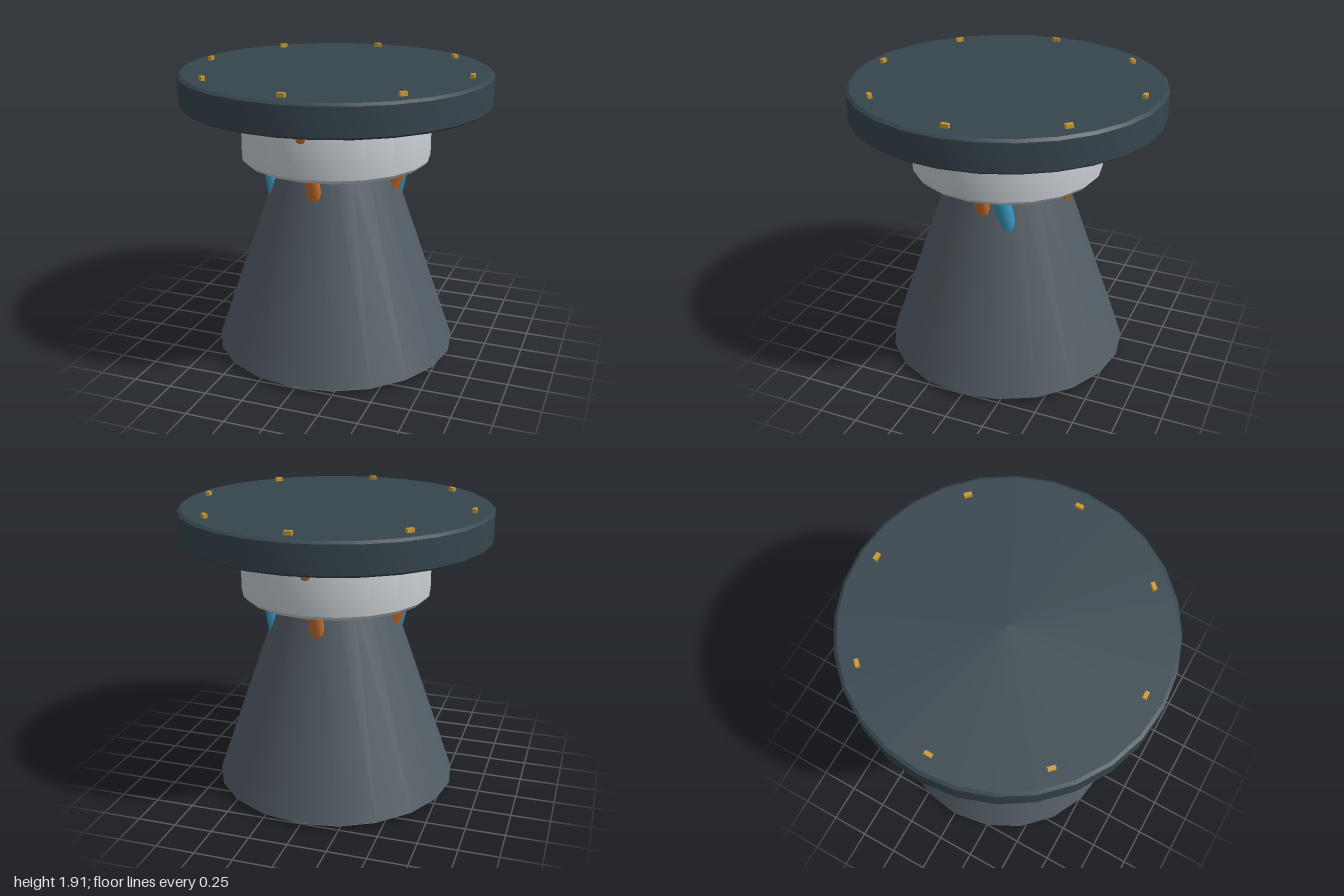
import * as THREE from 'three';
import { toCreasedNormals } from 'three/addons/utils/BufferGeometryUtils.js';

const mat = (color) => new THREE.MeshStandardMaterial({ color });

export function createModel() {
  const model = new THREE.Group();
  const dark = mat(0x36454d), slate = mat(0x535d65), pale = mat(0xc4cacf);
  const gold = mat(0xc9992e), copper = mat(0xc8702f), blue = mat(0x3596bd);

  const add = (name, geometry, material) => {
    const mesh = new THREE.Mesh(geometry, material);
    mesh.name = name;
    model.add(mesh);
    return mesh;
  };

  // Turned solid from [radius, y] points, bottom to top
  const turned = (name, points, sides, material) => {
    const profile = points.map(([r, y]) => new THREE.Vector2(r, y));
    return add(name, toCreasedNormals(new THREE.LatheGeometry(profile, sides), 0.6), material);
  };

  // Straight rod between two points
  const rod = (name, from, to, radius, material) => {
    const a = new THREE.Vector3(...from), b = new THREE.Vector3(...to);
    const path = b.clone().sub(a);
    const mesh = add(name, new THREE.CylinderGeometry(radius, radius, path.length(), 12), material);
    mesh.position.copy(a).add(b).multiplyScalar(0.5);
    mesh.quaternion.setFromUnitVectors(new THREE.Vector3(0, 1, 0), path.normalize());
    return mesh;
  };

  // Horizontal ring
  const ring = (name, radius, tube, y, sides, material) => {
    const mesh = add(name, new THREE.TorusGeometry(radius, tube, 8, sides), material);
    mesh.rotation.x = Math.PI / 2;
    mesh.position.y = y;
  };

  // Conical base, collar and round top
  turned('pedestal', [[0, 0.035], [0.8, 0.035], [0.355, 1.32], [0, 1.32]], 20, slate);
  turned('collar', [[0, 1.31], [0.595, 1.31], [0.617, 1.335], [0.617, 1.665], [0.6, 1.69], [0, 1.69]], 20, pale);
  turned('tableTop', [[0, 1.685], [0.98, 1.685], [1, 1.7], [1, 1.875], [0.98, 1.89], [0, 1.89]], 28, dark);

  // Trim rings under the base and under the top
  ring('footRing', 0.74, 0.035, 0.035, 20, pale);
  ring('trimRing', 0.84, 0.015, 1.682, 24, gold);

  // Small tabs around the rim
  for (let i = 0; i < 8; i++) {
    const angle = i * Math.PI / 4;
    const tab = add('rimTab', new THREE.BoxGeometry(0.048, 0.04, 0.025), gold);
    tab.position.set(Math.sin(angle) * 0.88, 1.895, Math.cos(angle) * 0.88);
    tab.rotation.y = angle;
  }

  // Four slanting struts through the collar
  for (let i = 0; i < 4; i++) {
    const s = Math.sin(i * Math.PI / 2), c = Math.cos(i * Math.PI / 2);
    rod('strut', [0.34 * s, 1.06, 0.34 * c], [0.63 * s, 1.69, 0.63 * c], 0.046, copper);
  }

  // Two hoses beside the side struts, half a turn apart
  for (const side of [1, -1]) {
    rod('hose', [side * 0.352, 1.05, side * -0.16], [side * 0.455, 1.45, side * -0.09], 0.055, blue);
  }

  return model;
}
